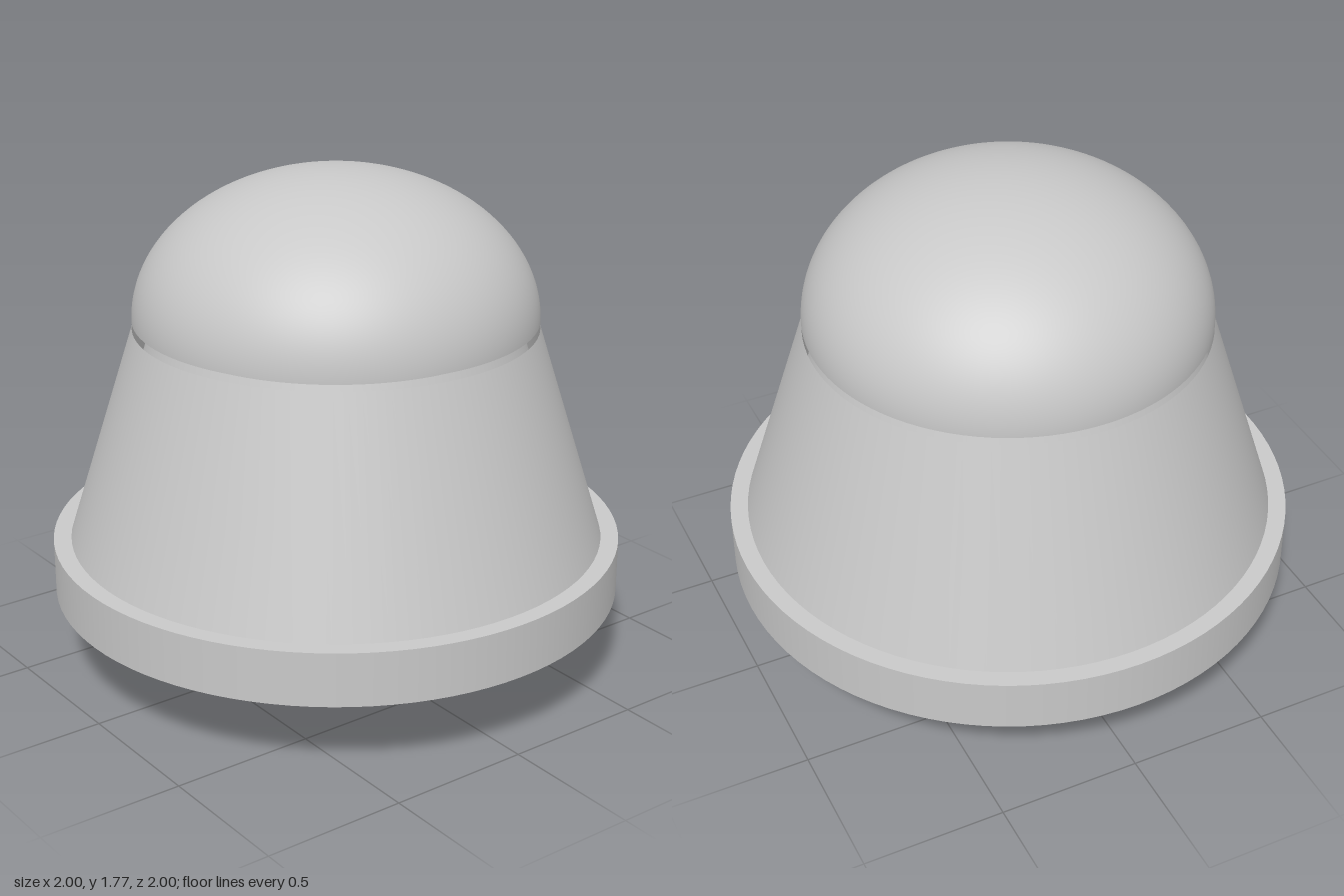
import * as THREE from 'three';

const SEGMENTS = 96;

export function createModel() {
  const group = new THREE.Group();
  group.name = 'bell';

  const grey = new THREE.MeshStandardMaterial({ color: 0xc8c8c8, side: THREE.DoubleSide });
  grey.name = 'light grey';

  const add = (name, geometry, y = 0) => {
    const mesh = new THREE.Mesh(geometry, grey);
    mesh.name = name;
    mesh.position.y = y;
    group.add(mesh);
    return mesh;
  };
  // open wall between two [radius, height] points
  const wall = (name, a, b) =>
    add(name, new THREE.LatheGeometry([new THREE.Vector2(...a), new THREE.Vector2(...b)], SEGMENTS));
  // open half ellipsoid standing on the given height
  const dome = (name, radius, height, y) => {
    const geometry = new THREE.SphereGeometry(radius, SEGMENTS, 32, 0, Math.PI * 2, 0, Math.PI / 2);
    add(name, geometry, y).scale.y = height / radius;
  };

  // rim band around the mouth, with sharp corners
  wall('rimBottom', [0.932, 0.285], [1, 0.285]);
  wall('rimOuter', [1, 0.285], [1, 0.474]);
  wall('rimTop', [1, 0.474], [0.938, 0.474]);

  // outer skin: tapered body and domed cap, parted by an open groove
  wall('body', [0.938, 0.474], [0.7, 1.23]);
  dome('dome', 0.7, 0.512, 1.258);

  // inner skin: parallel lining that shows in the groove and from below
  wall('bodyLining', [0.932, 0.285], [0.635, 1.23]);
  wall('neck', [0.635, 1.23], [0.635, 1.258]);
  dome('domeLining', 0.635, 0.447, 1.258);

  // clapper ball
  add('clapper', new THREE.SphereGeometry(0.173, 48, 32), 0.173);

  return group;
}
